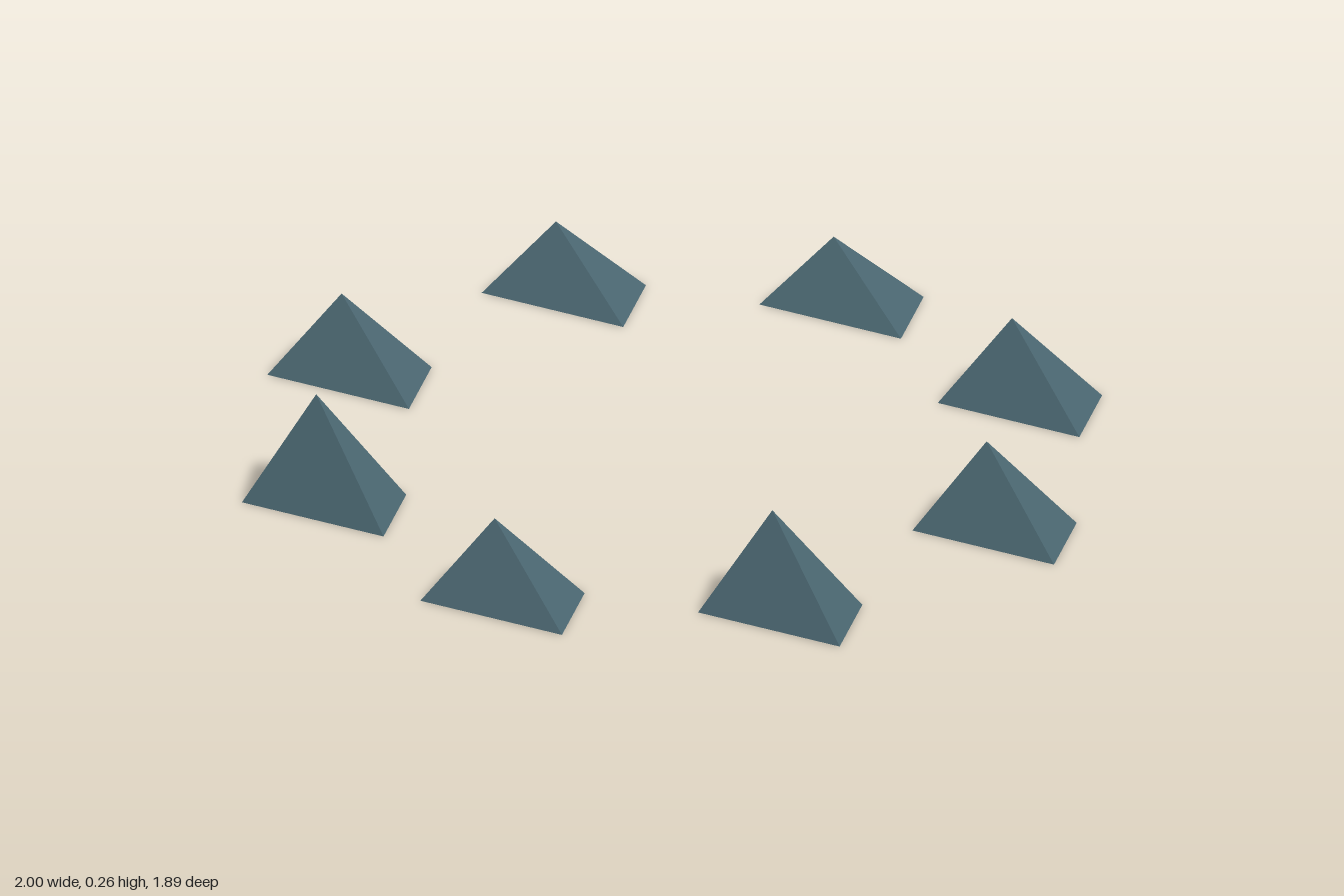
import * as THREE from 'three';

// Footprint corners (x, z) shared by every rock, counter-clockwise from above
const BASE = [[-0.18, 0.125], [0.18, 0.125], [0.13, -0.08], [-0.11, -0.13]];
const PEAK = [-0.04, 0.032];
const RADIUS = 0.82;
// Peak heights round the ring, starting at +x and turning towards +z
const HEIGHTS = [0.217, 0.25, 0.2, 0.265, 0.197, 0.172, 0.163, 0.206];

// Four-sided hollow shard, open underneath
function rockGeometry(height) {
  const points = [];
  BASE.forEach(([x, z], i) => {
    const [nx, nz] = BASE[(i + 1) % BASE.length];
    points.push(x, 0, z, nx, 0, nz, PEAK[0], height, PEAK[1]);
  });
  const geometry = new THREE.BufferGeometry();
  geometry.setAttribute('position', new THREE.Float32BufferAttribute(points, 3));
  geometry.computeVertexNormals();
  return geometry;
}

export function createModel() {
  const group = new THREE.Group();
  group.name = 'rockRing';
  const stone = new THREE.MeshStandardMaterial({
    color: 0x4a6670, flatShading: true, side: THREE.DoubleSide,
  });

  // Rocks spaced evenly on a circle, all facing the same way
  HEIGHTS.forEach((height, i) => {
    const angle = (i / HEIGHTS.length) * Math.PI * 2;
    const rock = new THREE.Mesh(rockGeometry(height), stone);
    rock.name = `rock${i + 1}`;
    rock.position.set(RADIUS * Math.cos(angle), 0, RADIUS * Math.sin(angle));
    group.add(rock);
  });
  return group;
}
